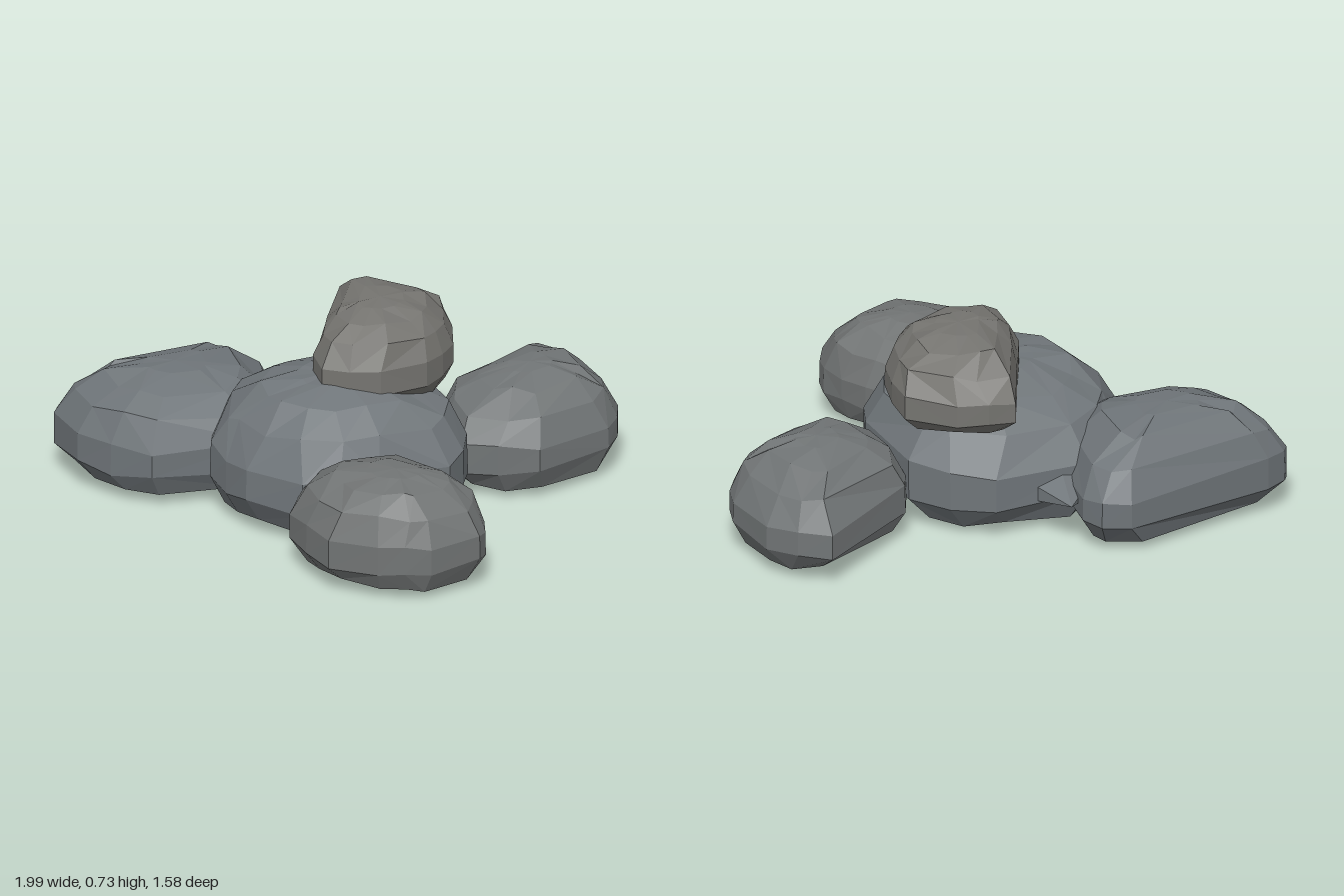
import * as THREE from 'three';

const RING_HEIGHTS = [0.01, 0.08, 0.26, 0.5, 0.75, 0.91, 0.985];
const BELT = 0.36; // height fraction where a boulder is widest

function seeded(seed) {
  let s = seed * 7919 + 13;
  return () => (s = (s * 16807) % 2147483647) / 2147483647;
}

// Faceted boulder: a few plan corners (x, z pairs, +x toward +z) lofted through shrinking rings
function boulder(name, color, seed, bottom, top, roundness, ...corners) {
  const rand = seeded(seed);
  const points = [];
  for (let i = 0; i < corners.length; i += 2) points.push(new THREE.Vector3(corners[i], 0, corners[i + 1]));
  const n = Math.round(points.length * 1.5);
  const outline = new THREE.CatmullRomCurve3(points, true, 'catmullrom', 0.35).getPoints(points.length * 2).slice(0, -1)
    .filter((p, i) => i % 4 !== 3).slice(0, n);
  const centre = new THREE.Vector3();
  outline.forEach((p) => centre.addScaledVector(p, 1 / n));
  const polar = outline.map((p) => p.sub(centre)).map((p) => [Math.atan2(p.z, p.x), p.length()]);
  const mean = polar.reduce((sum, p) => sum + p[1], 0) / n;
  const verts = [], index = [];

  RING_HEIGHTS.forEach((f) => {
    // Blunt curve under the belt, domed above it
    const u = (f - BELT) / (f < BELT ? BELT : 1 - BELT);
    const scale = Math.pow(1 - Math.pow(Math.abs(u), 2.5), f < BELT ? 0.2 : roundness);
    const wide = Math.abs(u) < 0.35;
    polar.forEach(([angle, radius]) => {
      const r = THREE.MathUtils.lerp(radius, mean, 0.3 * u * u) * scale * (1 - rand() * (wide ? 0.01 : 0.05));
      const a = angle + (wide ? 0 : (rand() - 0.5) * 0.2);
      const y = f + (rand() - 0.5) * (Math.abs(u) > 0.9 ? 0.015 : 0.08);
      verts.push(centre.x + Math.cos(a) * r, THREE.MathUtils.lerp(bottom, top, y), centre.z + Math.sin(a) * r);
    });
  });
  const low = verts.length / 3, high = low + 1, last = low - n;
  verts.push(centre.x, bottom, centre.z, centre.x, top, centre.z);

  for (let i = 0; i < n; i++) {
    const k = (i + 1) % n;
    index.push(low, i, k, high, last + k, last + i);
    for (let ring = 0; ring < last; ring += n) {
      const a = ring + i, b = ring + k, c = a + n, d = b + n;
      // Vary the diagonals for a chipped look
      if (rand() < 0.6) index.push(a, c, b, b, c, d);
      else index.push(a, c, d, a, d, b);
    }
  }

  const geometry = new THREE.BufferGeometry();
  geometry.setAttribute('position', new THREE.Float32BufferAttribute(verts, 3));
  geometry.setIndex(index);
  geometry.computeVertexNormals();
  const mesh = new THREE.Mesh(geometry, new THREE.MeshStandardMaterial({ color, flatShading: true }));
  mesh.name = name;
  return mesh;
}

export function createModel() {
  const group = new THREE.Group();
  group.name = 'rockPile';

  group.add(boulder('centralBoulder', 0x70767a, 3, 0, 0.51, 0.45,
    0.44, -0.05, 0.36, 0.19, 0.1, 0.27, -0.18, 0.31, -0.37, 0.18, -0.48, -0.06,
    -0.45, -0.25, -0.27, -0.53, 0.08, -0.58, 0.36, -0.4));

  group.add(boulder('rightBackBoulder', 0x6e7478, 11, 0.01, 0.425, 0.45,
    -0.18, -0.4, -0.28, -0.13, -0.68, -0.08, -0.93, -0.27, -1, -0.47, -0.91, -0.57, -0.36, -0.79, -0.2, -0.7));

  group.add(boulder('leftBackBoulder', 0x717576, 23, 0.01, 0.4, 0.5,
    1, -0.43, 0.95, -0.23, 0.69, -0.04, 0.41, -0.09, 0.36, -0.28, 0.38, -0.47, 0.72, -0.8, 0.93, -0.66));

  group.add(boulder('frontBoulder', 0x717474, 37, 0.01, 0.4, 0.45,
    0.45, 0.55, 0.42, 0.7, 0.24, 0.79, 0.05, 0.77, -0.12, 0.69, -0.24, 0.42, -0.18, 0.24, 0.14, 0.12, 0.34, 0.35));

  group.add(boulder('topBoulder', 0x757470, 41, 0.39, 0.725, 0.4,
    0.4, -0.2, 0.29, -0.02, 0.12, 0.05, -0.09, 0.01, -0.11, -0.12, -0.06, -0.3, 0.01, -0.6, 0.22, -0.58, 0.39, -0.48));

  // Low wedge jutting from the back of the central boulder
  const shard = new THREE.Mesh(
    new THREE.ConeGeometry(0.28, 0.34, 6),
    new THREE.MeshStandardMaterial({ color: 0x70767a, flatShading: true }),
  );
  shard.name = 'backShard';
  shard.rotation.x = -Math.PI / 2;
  shard.scale.z = 0.5;
  shard.position.set(-0.17, 0.17, -0.51);
  group.add(shard);

  return group;
}
